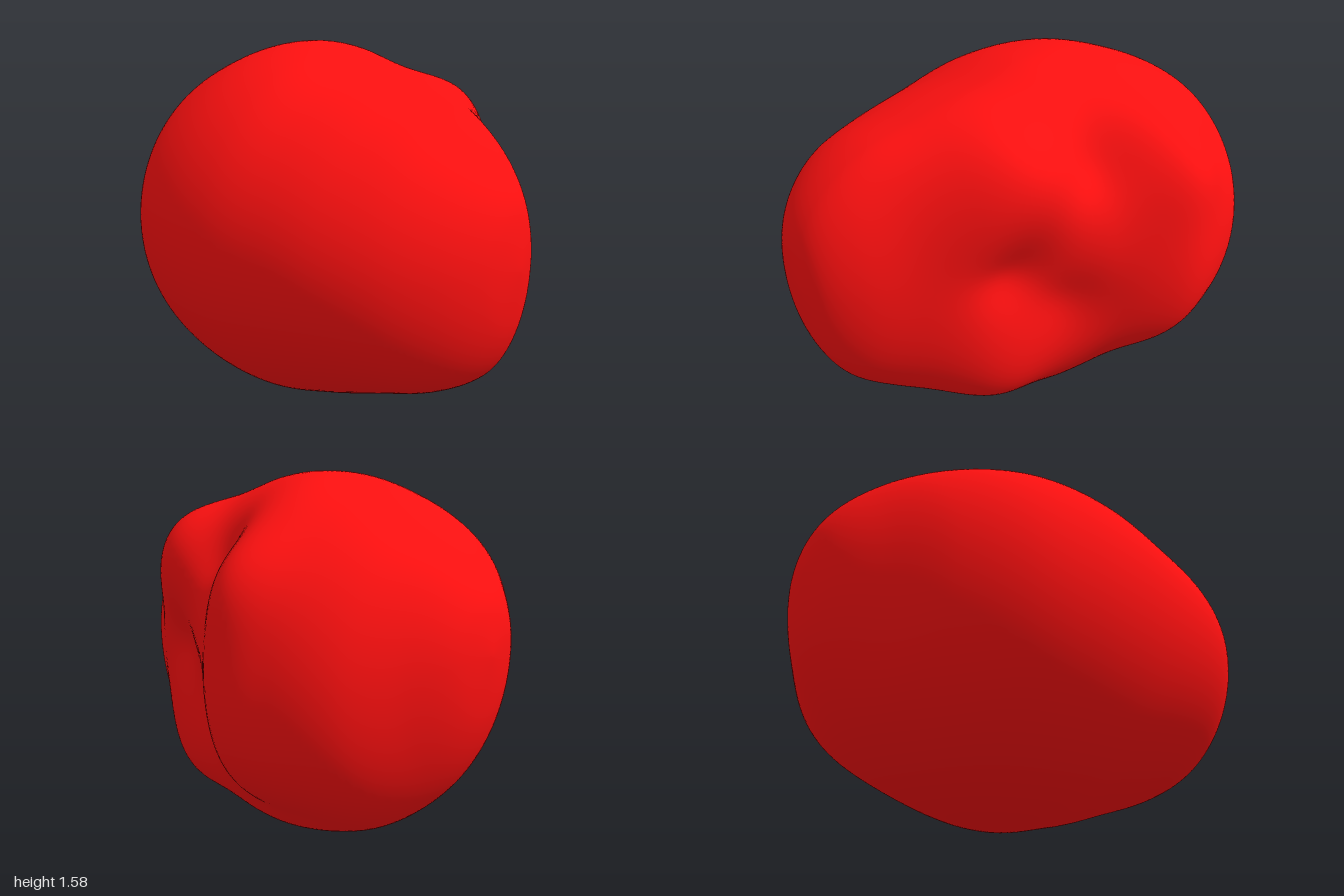
import * as THREE from 'three';
import { mergeVertices } from 'three/addons/utils/BufferGeometryUtils.js';

// Outline stations from the -x end to the +x end, at x = -cos(15 degrees * i)
const pairs = (list) => new THREE.SplineCurve(list.map(([a, b]) => new THREE.Vector2(a, b)));

// [top y, bottom y]
const heights = pairs([
  [0.93, 0.93], [1.12, 0.66], [1.28, 0.43], [1.41, 0.24], [1.51, 0.10], [1.575, 0.02], [1.56, 0.005],
  [1.47, 0.07], [1.39, 0.15], [1.31, 0.22], [1.18, 0.33], [1.01, 0.52], [0.78, 0.78],
]);
// [front z, back z]
const depths = pairs([
  [-0.12, -0.12], [0.07, -0.31], [0.27, -0.48], [0.52, -0.69], [0.70, -0.79], [0.79, -0.82], [0.82, -0.65],
  [0.80, -0.48], [0.75, -0.38], [0.65, -0.25], [0.50, -0.14], [0.32, -0.02], [0.12, 0.12],
]);

// Lobes (positive) and hollows (negative) on the back: centre, radius, amount
const swells = [
  [new THREE.Vector3(0.36, 1.18, -0.36), 0.26, 0.18],
  [new THREE.Vector3(-0.3, 1.2, -0.72), 0.2, 0.06],
  [new THREE.Vector3(0.38, 0.33, -0.32), 0.25, 0.1],
  [new THREE.Vector3(0.34, 0.85, -0.4), 0.17, -0.08],
  [new THREE.Vector3(-0.02, 1.24, -0.5), 0.16, -0.06],
  [new THREE.Vector3(0.1, 0.65, -0.52), 0.18, -0.07],
  [new THREE.Vector3(-0.28, 0.22, -0.5), 0.28, -0.08],
];

export function createModel() {
  const group = new THREE.Group();
  group.name = 'lumpyRock';

  // Sphere with its poles on the x axis, reshaped ring by ring
  let geometry = new THREE.SphereGeometry(1, 160, 120).rotateZ(-Math.PI / 2);
  geometry.deleteAttribute('uv');
  geometry.deleteAttribute('normal');
  geometry = mergeVertices(geometry, 1e-5);

  const position = geometry.attributes.position;
  const p = new THREE.Vector3();
  const h = new THREE.Vector2();
  const d = new THREE.Vector2();
  const outward = new THREE.Vector3();
  for (let i = 0; i < position.count; i++) {
    p.fromBufferAttribute(position, i);
    const x = THREE.MathUtils.clamp(p.x, -1, 1);
    const t = Math.acos(-x) / Math.PI;
    const angle = Math.atan2(p.y, p.z);
    const up = Math.sin(angle);
    const out = Math.cos(angle);
    heights.getPoint(t, h);
    depths.getPoint(t, d);

    // Four quarter ellipses around the section's centre
    const yc = 0.78 + 0.15 * ((1 - x) / 2) ** 6;
    const zc = -0.12 + 0.24 * ((1 + x) / 2) ** 2;
    p.set(
      x,
      yc + up * (up > 0 ? h.x - yc : yc - h.y),
      zc + out * (out > 0 ? d.x - zc : zc - d.y),
    );

    // Raise the lobes and press the hollows, away from the long axis
    let push = 0;
    for (const [centre, radius, amount] of swells) {
      push += amount * Math.exp(-p.distanceToSquared(centre) / (radius * radius));
    }
    outward.set(0, p.y - 0.8, p.z - 0.1).normalize();
    p.addScaledVector(outward, push);
    position.setXYZ(i, p.x, p.y, p.z);
  }
  geometry.computeVertexNormals();

  const body = new THREE.Mesh(geometry, new THREE.MeshStandardMaterial({ color: 0xff1010 }));
  body.name = 'body';
  group.add(body);
  return group;
}
